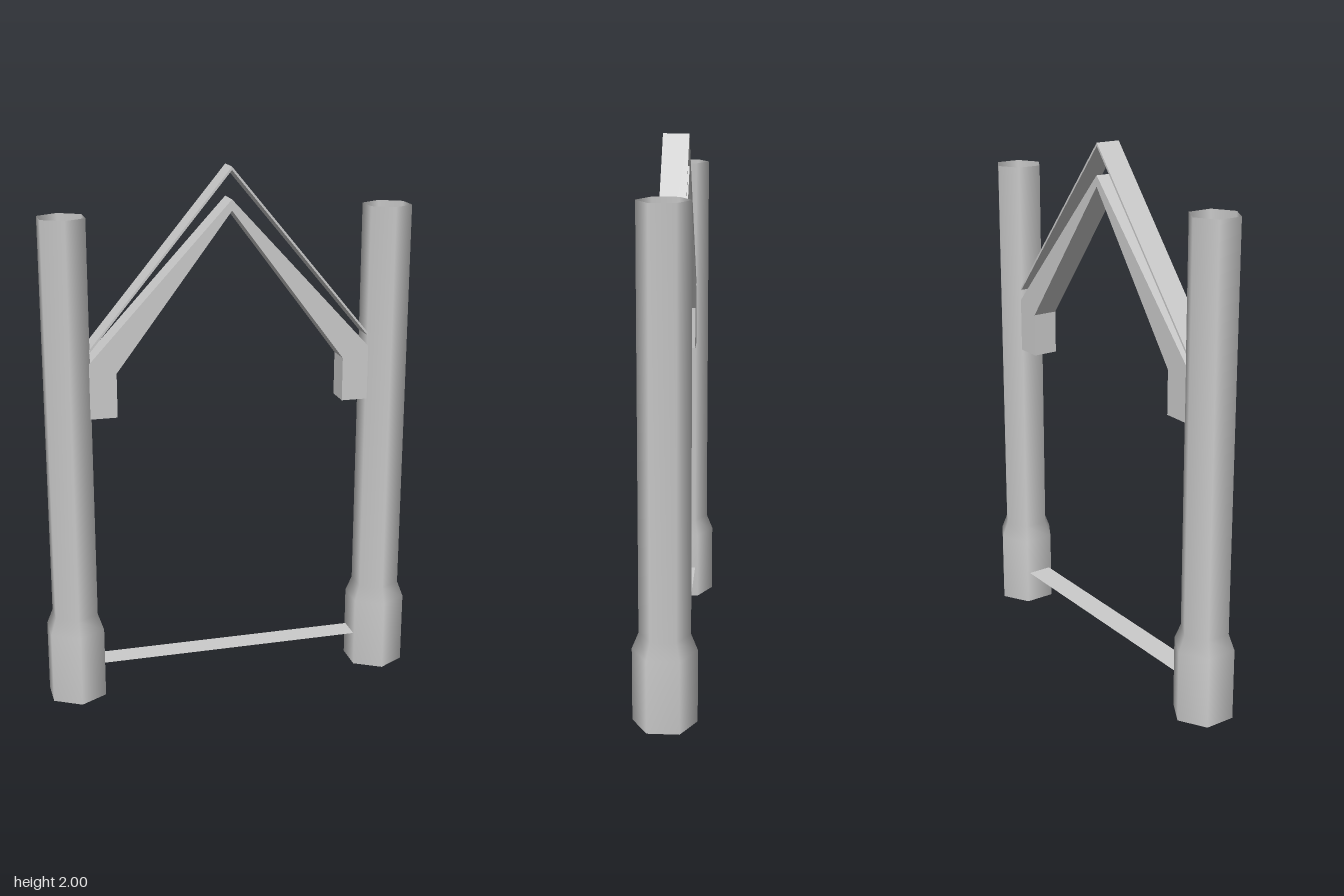
import * as THREE from 'three';

const DEPTH = 0.095;
const solid = new THREE.MeshStandardMaterial({ color: 0xcccccc });
const thin = new THREE.MeshStandardMaterial({ color: 0xcccccc, side: THREE.DoubleSide });

function part(name, geometry, material) {
  const mesh = new THREE.Mesh(geometry, material);
  mesh.name = name;
  return mesh;
}

// Extrudes a front outline along z, centred on z = 0
function extrudeOutline(points, depth) {
  const shape = new THREE.Shape(points.map(([x, y]) => new THREE.Vector2(x, y)));
  const geometry = new THREE.ExtrudeGeometry(shape, { depth, bevelEnabled: false });
  return geometry.translate(0, 0, -depth / 2);
}

// Turns a right-hand run of points into a symmetric run, left to right
function mirrorRun(points) {
  const left = points.filter(([x]) => x > 0).map(([x, y]) => [-x, y]).reverse();
  return [...left, ...points];
}

export function createModel() {
  const model = new THREE.Group();
  model.name = 'gateway';

  // Open hexagonal posts with a wider socket at the foot
  const postProfile = [[0.116, 0], [0.116, 0.275], [0.092, 0.335], [0.092, 1.84]]
    .map(([r, y]) => new THREE.Vector2(r, y));
  const postGeometry = new THREE.LatheGeometry(postProfile, 6);
  for (const [name, side] of [['leftPost', 1], ['rightPost', -1]]) {
    const post = part(name, postGeometry, thin);
    post.position.x = side * 0.605;
    model.add(post);
  }

  // Pointed brace, tapering to the apex, with a square foot on each post
  const outer = mirrorRun([[0, 1.885], [0.535, 1.31], [0.535, 1.11]]);
  const inner = mirrorRun([[0, 1.845], [0.43, 1.275], [0.43, 1.11]]);
  model.add(part('archBrace', extrudeOutline([...outer, ...inner.reverse()], DEPTH + 0.002), solid));

  // Thin roof strip above the brace
  const roofTop = mirrorRun([[0, 2], [0.535, 1.358]]);
  const roofBottom = roofTop.map(([x, y]) => [x, y - 0.012]).reverse();
  model.add(part('roofStrip', extrudeOutline([...roofTop, ...roofBottom], DEPTH), solid));

  // Flat threshold strip between the post centres
  const threshold = part('threshold', new THREE.PlaneGeometry(1.21, DEPTH).rotateX(-Math.PI / 2), thin);
  threshold.position.y = 0.13;
  model.add(threshold);

  return model;
}
